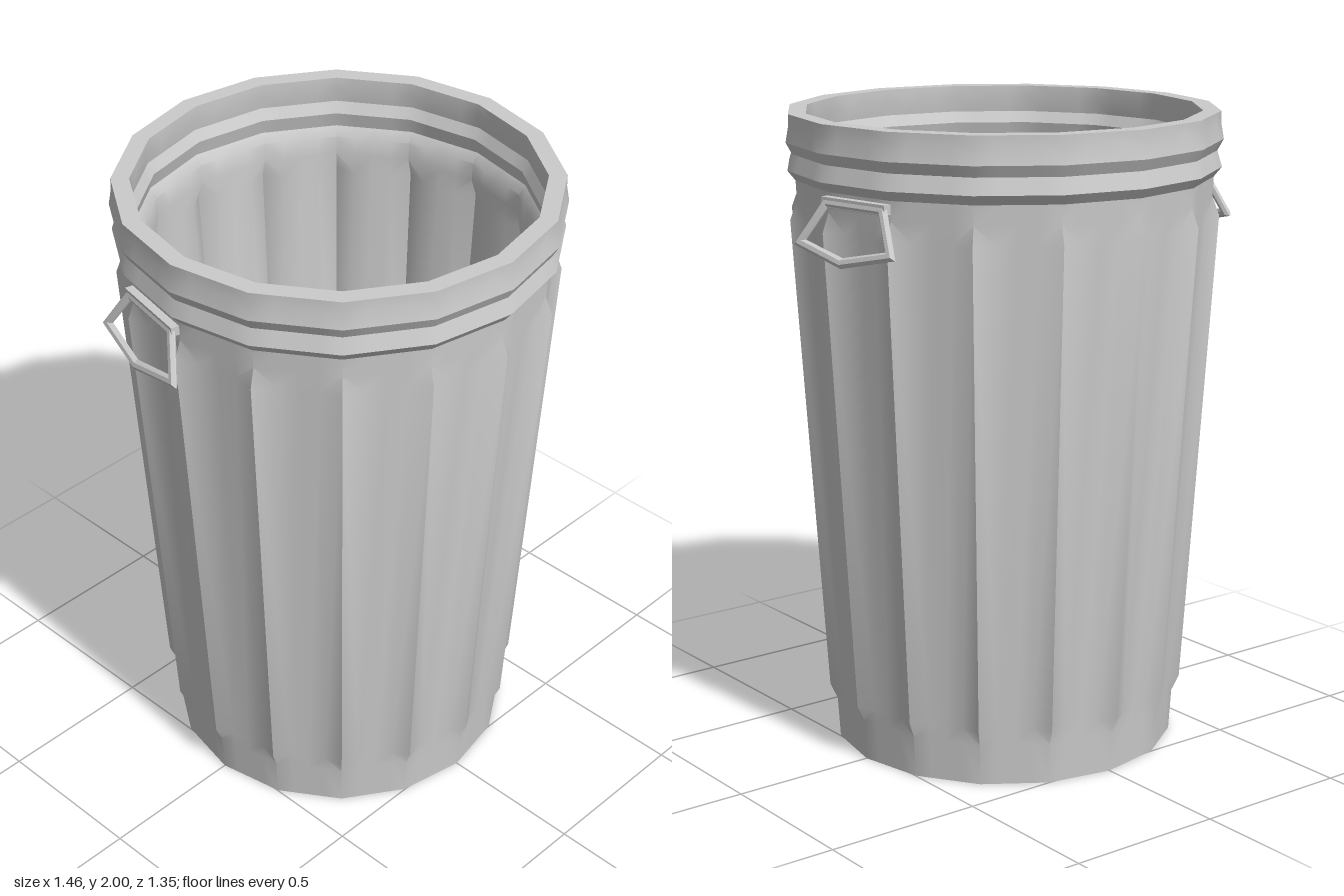
import * as THREE from 'three';
import { toCreasedNormals } from 'three/addons/utils/BufferGeometryUtils.js';

const SIDES = 16;
const STEP = (Math.PI * 2) / SIDES;
const material = new THREE.MeshStandardMaterial({ color: 0xcccccc });

// Profile rows: [corner radius, height, how far the ribs stand out]
const PROFILE = [
  // underside and fluted outer wall
  [0, 0, 0], [0.54, 0, 0], [0.548, 0.13, 0], [0.551, 0.18, 0.02],
  [0.642, 1.68, 0.025], [0.645, 1.74, 0], [0.648, 1.8, 0],
  // two swaged bands and the rim
  [0.672, 1.83, 0], [0.657, 1.88, 0], [0.676, 1.915, 0], [0.667, 1.965, 0], [0.667, 2, 0],
  // inside of the rim, inner wall and floor
  [0.612, 2, 0], [0.612, 1.965, 0], [0.62, 1.915, 0], [0.602, 1.88, 0], [0.616, 1.83, 0],
  [0.596, 1.8, 0], [0.594, 1.74, 0], [0.591, 1.68, 0.025],
  [0.509, 0.18, 0.02], [0.506, 0.13, 0], [0.5, 0.03, 0], [0, 0.03, 0],
];

// Sweeps the profile round a 16-sided plan with a pointed rib on every corner
function canGeometry() {
  const columns = SIDES * 4;
  const positions = [];
  const index = [];
  for (const [radius, y, lift] of PROFILE) {
    for (let j = 0; j < columns; j++) {
      const angle = (j * STEP) / 4;
      const offCorner = [0, 1, 2, 1][j % 4] * (STEP / 4);
      const flat = (radius * Math.cos(STEP / 2)) / Math.cos(STEP / 2 - offCorner);
      const r = flat + (j % 4 === 0 ? lift : 0);
      positions.push(r * Math.sin(angle), y, r * Math.cos(angle));
    }
  }
  for (let i = 0; i < PROFILE.length - 1; i++) {
    const fadesAtStart = PROFILE[i][2] === 0;
    for (let j = 0; j < columns; j++) {
      const k = (j + 1) % columns;
      const a = i * columns + j, b = i * columns + k;
      const c = b + columns, d = a + columns;
      // turn the diagonal so each rib ends in a point
      const diagonalAC = j % 4 === 0 ? fadesAtStart : k % 4 === 0 ? !fadesAtStart : true;
      if (PROFILE[i][0] === 0) index.push(a, c, d);
      else if (PROFILE[i + 1][0] === 0) index.push(a, b, c);
      else if (diagonalAC) index.push(a, b, c, a, c, d);
      else index.push(a, b, d, b, c, d);
    }
  }
  const geometry = new THREE.BufferGeometry();
  geometry.setAttribute('position', new THREE.Float32BufferAttribute(positions, 3));
  geometry.setIndex(index);
  return toCreasedNormals(geometry, THREE.MathUtils.degToRad(32));
}

// Five-sided ring, hinged on its top edge
function handleLoopGeometry() {
  const points = (list) => list.map(([x, y]) => new THREE.Vector2(x, y));
  const shape = new THREE.Shape(points([[-0.117, 0], [-0.192, -0.137], [0, -0.181], [0.192, -0.137], [0.117, 0]]));
  shape.holes.push(new THREE.Path(points([[-0.109, -0.012], [-0.173, -0.128], [0, -0.168], [0.173, -0.128], [0.109, -0.012]])));
  const geometry = new THREE.ExtrudeGeometry(shape, {
    depth: 0.004, bevelEnabled: true, bevelSize: 0.009, bevelThickness: 0.009, bevelSegments: 1,
  });
  return geometry.translate(0, 0, -0.002);
}

function createHandle(name, angle) {
  const handle = new THREE.Group();
  handle.name = name;
  handle.rotation.y = angle;

  const bar = new THREE.Mesh(new THREE.BoxGeometry(0.255, 0.03, 0.035), material);
  bar.name = 'handleHinge';
  bar.position.set(0, 1.775, 0.643);

  const loop = new THREE.Mesh(handleLoopGeometry(), material);
  loop.name = 'handleLoop';
  loop.position.set(0, 1.778, 0.65);
  loop.rotation.x = -0.34;

  handle.add(bar, loop);
  return handle;
}

export function createModel() {
  const model = new THREE.Group();
  model.name = 'trashCan';

  const can = new THREE.Mesh(canGeometry(), material);
  can.name = 'flutedCan';
  model.add(can);

  // handles sit on the flat panels just behind the middle of each side
  const angle = Math.PI / 2 + STEP / 2;
  model.add(createHandle('leftHandle', angle), createHandle('rightHandle', -angle));
  return model;
}
